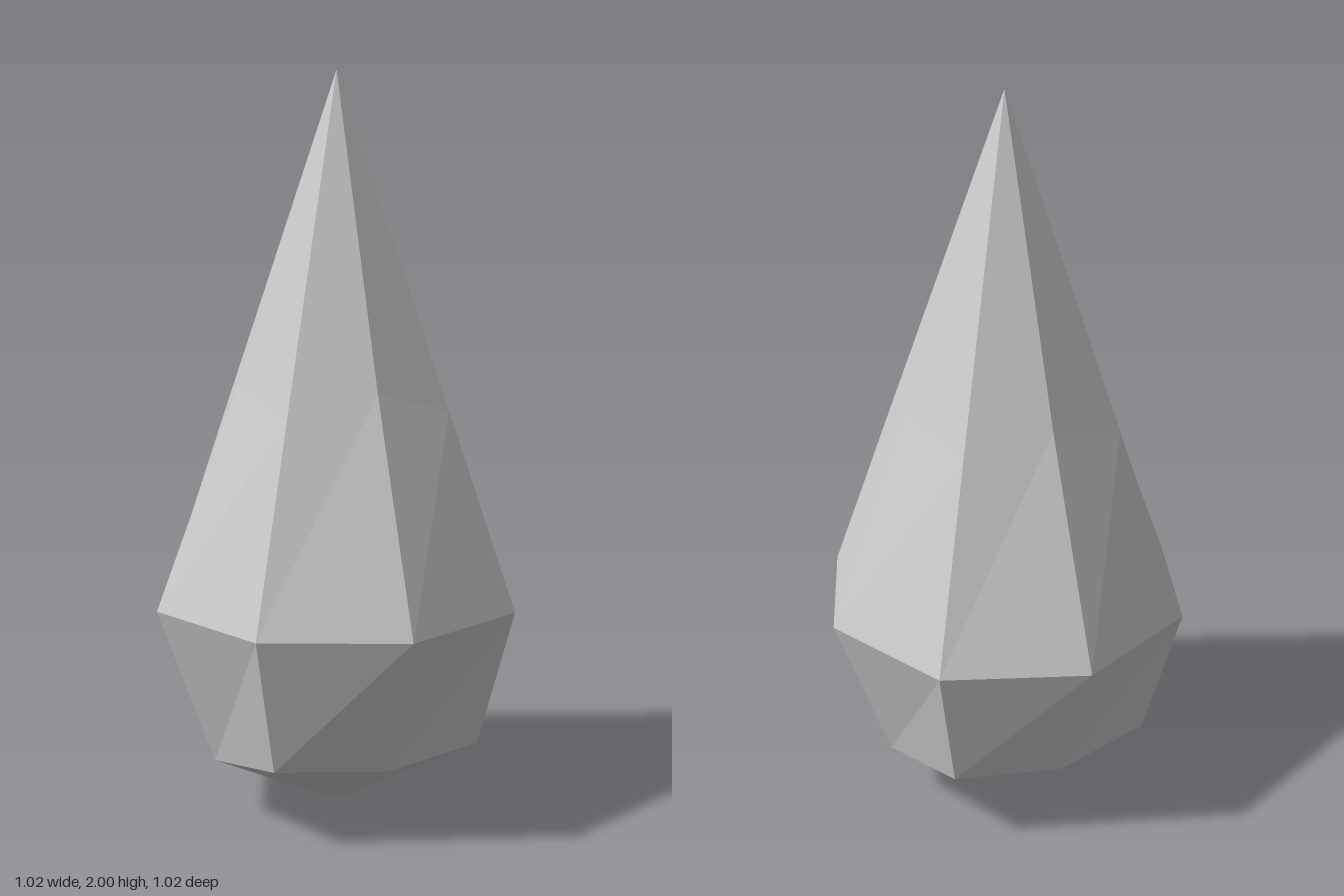
import * as THREE from 'three';

// Eight-point ring: front/back, side and diagonal corners each get [radius, height]
function ring(frontBack, side, diagonal) {
  return Array.from({ length: 8 }, (_, i) => {
    const [r, y] = i % 2 ? diagonal : i % 4 ? side : frontBack;
    const a = (i * Math.PI) / 4;
    return new THREE.Vector3(Math.sin(a) * r, y, Math.cos(a) * r);
  });
}

export function createModel() {
  const tip = new THREE.Vector3(0, 2, 0);
  const base = new THREE.Vector3(0, 0, 0);
  const lower = ring([0.355, 0.21], [0.355, 0.165], [0.41, 0.225]);
  const girdle = ring([0.51, 0.6], [0.51, 0.6], [0.51, 0.6]);
  const upper = ring([0.28, 1.19], [0.28, 1.19], [0.32, 1.125]);

  // Stitch the facets from the bottom point up to the tip
  const points = [];
  for (let i = 0; i < 8; i++) {
    const j = (i + 1) % 8;
    points.push(base, lower[j], lower[i]);
    for (const [a, b] of [[lower, girdle], [girdle, upper]]) {
      points.push(a[i], a[j], b[j], a[i], b[j], b[i]);
    }
    points.push(upper[i], upper[j], tip);
  }
  const geometry = new THREE.BufferGeometry().setFromPoints(points);
  geometry.computeVertexNormals();

  const crystal = new THREE.Mesh(
    geometry,
    new THREE.MeshStandardMaterial({ color: 0xcccccc, flatShading: true })
  );
  crystal.name = 'crystal';
  const group = new THREE.Group();
  group.name = 'crystalDrop';
  group.add(crystal);
  return group;
}
